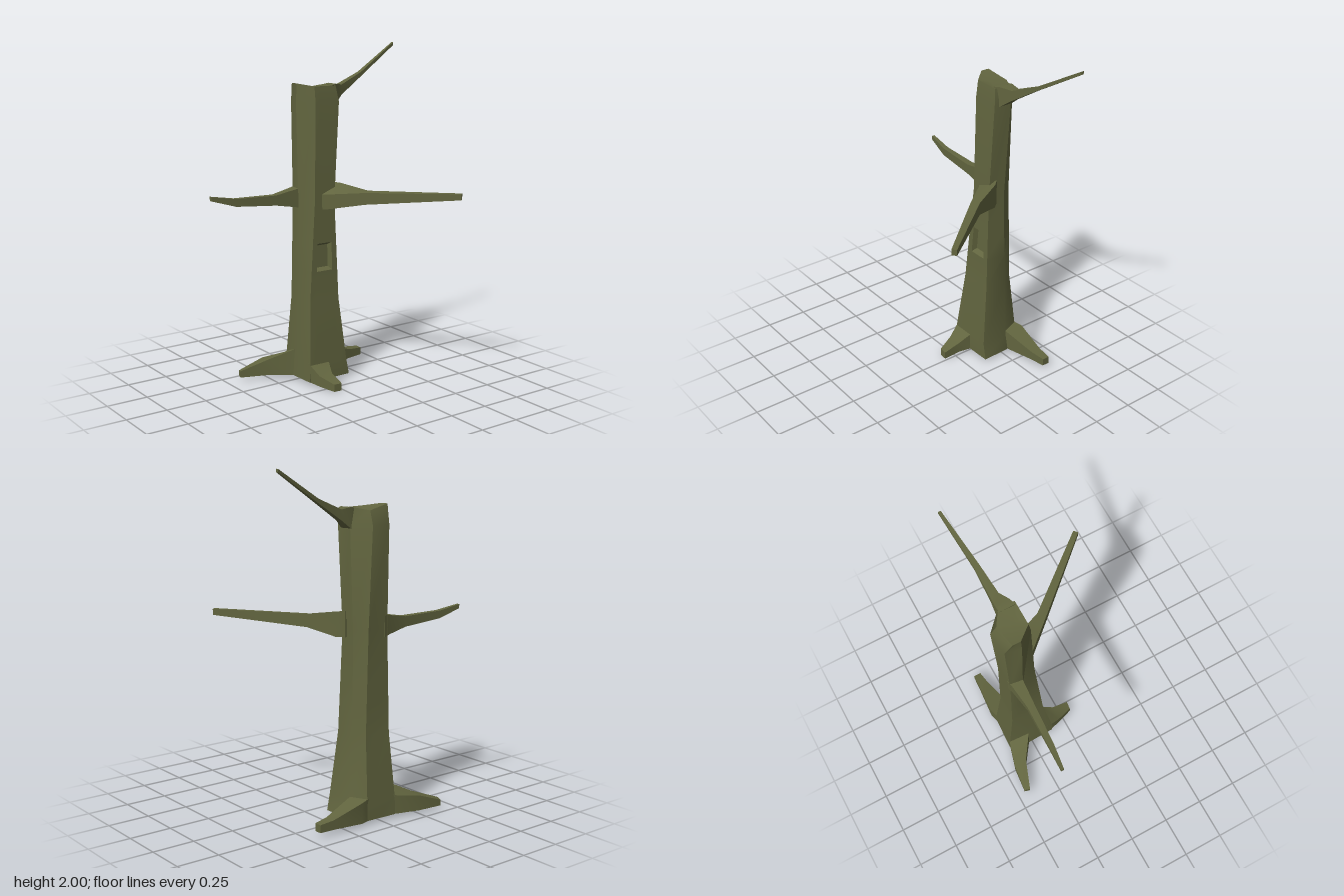
import * as THREE from 'three';
import { toCreasedNormals } from 'three/addons/utils/BufferGeometryUtils.js';

const bark = new THREE.MeshStandardMaterial({ color: 0x62653f });

// Skin a list of equal-length rings (counter-clockwise seen from the tip); skip(level, column) leaves a gap.
function loft(rings, { startCap = true, skip = () => false, dip = 0 } = {}) {
  const pos = [];
  const tri = (...pts) => pts.forEach((p) => pos.push(...p));
  const n = rings[0].length;
  for (let j = 0; j < rings.length - 1; j++) {
    for (let i = 0; i < n; i++) {
      if (skip(j, i)) continue;
      const k = (i + 1) % n;
      const a = rings[j][i], b = rings[j][k], c = rings[j + 1][k], d = rings[j + 1][i];
      tri(a, b, c);
      tri(a, c, d);
    }
  }
  const cap = (ring, flip, drop) => {
    const mid = [0, 1, 2].map((q) => ring.reduce((s, p) => s + p[q], 0) / n);
    mid[1] -= drop;
    ring.forEach((p, i) => {
      const r = ring[(i + 1) % n];
      if (flip) tri(r, p, mid); else tri(p, r, mid);
    });
  };
  if (startCap) cap(rings[0], true, 0);
  cap(rings[rings.length - 1], false, dip);
  const geo = new THREE.BufferGeometry();
  geo.setAttribute('position', new THREE.Float32BufferAttribute(pos, 3));
  return toCreasedNormals(geo, 0.6);
}

const lerp = (a, b, t) => a.map((v, i) => v + (b[i] - v) * t);

// Four-sided limb. Row: left x, z, right x, z (seen from the tip), bottom y, top y, optional right-hand top y.
const limb = (rows) => loft(rows.map(([xl, zl, xr, zr, y0, y1, y1r = y1]) => [
  [xl, y0, zl], [xr, y0, zr], [xr, y1r, zr], [xl, y1, zl],
]));

export function createModel() {
  const group = new THREE.Group();
  const add = (name, geometry) => {
    const mesh = new THREE.Mesh(geometry, bark);
    mesh.name = name;
    group.add(mesh);
  };

  // Trunk outline at key heights: six x, z corners from front right round to the back
  const keys = [
    [0.02, [[-0.4, 0.1], [-0.27, 0.13], [-0.1, 0.125], [-0.105, -0.165], [-0.28, -0.16], [-0.39, -0.1]]],
    [0.12, [[-0.395, 0.1], [-0.27, 0.125], [-0.1, 0.12], [-0.105, -0.145], [-0.28, -0.14], [-0.39, -0.1]]],
    [0.5, [[-0.355, 0.085], [-0.27, 0.095], [-0.145, 0.09], [-0.145, -0.115], [-0.28, -0.12], [-0.35, -0.08]]],
    [1.1, [[-0.34, 0.08], [-0.265, 0.09], [-0.165, 0.04], [-0.165, -0.1], [-0.27, -0.11], [-0.345, -0.06]]],
    [1.68, [[-0.35, 0.08], [-0.26, 0.105], [-0.168, 0.03], [-0.168, -0.135], [-0.28, -0.14], [-0.365, -0.05]]],
  ].map(([y, pts]) => pts.map(([x, z]) => [x, y, z]));
  const between = (a, b, t) => a.map((p, i) => lerp(p, b[i], t));
  const crown = [[-0.31, 1.79, 0.1], [-0.26, 1.79, 0.1], [-0.18, 1.775, 0.03],
    [-0.18, 1.77, -0.12], [-0.27, 1.78, -0.13], [-0.33, 1.76, -0.04]];
  const rings = [
    ...keys.slice(0, 3),
    between(keys[2], keys[3], 0.3),
    between(keys[2], keys[3], 0.58),
    ...keys.slice(3),
    crown,
  ].map((r) => [...r.slice(0, 3), lerp(r[2], r[3], 0.2), lerp(r[2], r[3], 0.8), ...r.slice(3)]);
  add('trunk', loft(rings, { skip: (j, i) => j === 3 && i === 3, dip: 0.015 }));

  // Shallow knot hole in the side of the trunk
  const rim = [rings[3][3], rings[3][4], rings[4][4], rings[4][3]];
  const centre = lerp(rim[0], rim[2], 0.5);
  const floor = rim.map((p) => {
    const q = lerp(p, centre, 0.2);
    return [q[0] - 0.03, q[1], q[2]];
  });
  add('knotHole', loft([rim, floor], { startCap: false }));

  // Roots
  add('frontRoot', limb([
    [-0.385, 0.07, -0.255, 0.1, 0.02, 0.15, 0.2],
    [-0.4, 0.11, -0.275, 0.13, 0.02, 0.13, 0.18],
    [-0.44, 0.25, -0.36, 0.25, 0.02, 0.11, 0.12],
    [-0.455, 0.405, -0.42, 0.415, 0.02, 0.055, 0.06],
  ]));
  add('sideRoot', limb([
    [-0.13, 0.12, -0.13, -0.02, 0.02, 0.14],
    [-0.1, 0.12, -0.105, -0.015, 0.02, 0.125],
    [-0.035, 0.1, -0.035, 0.01, 0.01, 0.075],
    [0.065, 0.065, 0.07, 0.015, 0, 0.045],
  ]));
  add('backRoot', limb([
    [-0.27, -0.1, -0.385, -0.08, 0.02, 0.15],
    [-0.285, -0.15, -0.405, -0.15, 0.02, 0.14],
    [-0.325, -0.34, -0.39, -0.34, 0.025, 0.08],
    [-0.34, -0.43, -0.385, -0.43, 0.025, 0.07],
  ]));

  // Branches
  add('frontBranch', limb([
    [-0.345, 0.06, -0.262, 0.06, 1.05, 1.175],
    [-0.335, 0.1, -0.265, 0.1, 1.06, 1.17],
    [-0.315, 0.24, -0.272, 0.24, 1.085, 1.145],
    [-0.32, 0.5, -0.288, 0.5, 1.105, 1.15],
    [-0.328, 0.65, -0.31, 0.65, 1.15, 1.175],
  ]));
  add('longBranch', limb([
    [-0.165, -0.01, -0.21, -0.115, 1.05, 1.14, 1.2],
    [-0.15, -0.025, -0.17, -0.15, 1.05, 1.14, 1.195],
    [0.03, -0.18, 0, -0.225, 1.09, 1.16, 1.165],
    [0.45, -0.555, 0.43, -0.578, 1.14, 1.175],
  ]));
  add('topBranch', limb([
    [-0.185, -0.1, -0.28, -0.1, 1.64, 1.775],
    [-0.2, -0.14, -0.285, -0.14, 1.665, 1.78],
    [-0.232, -0.2, -0.282, -0.2, 1.71, 1.77],
    [-0.255, -0.36, -0.288, -0.36, 1.81, 1.835],
    [-0.315, -0.65, -0.331, -0.65, 1.982, 2],
  ]));

  return group;
}
